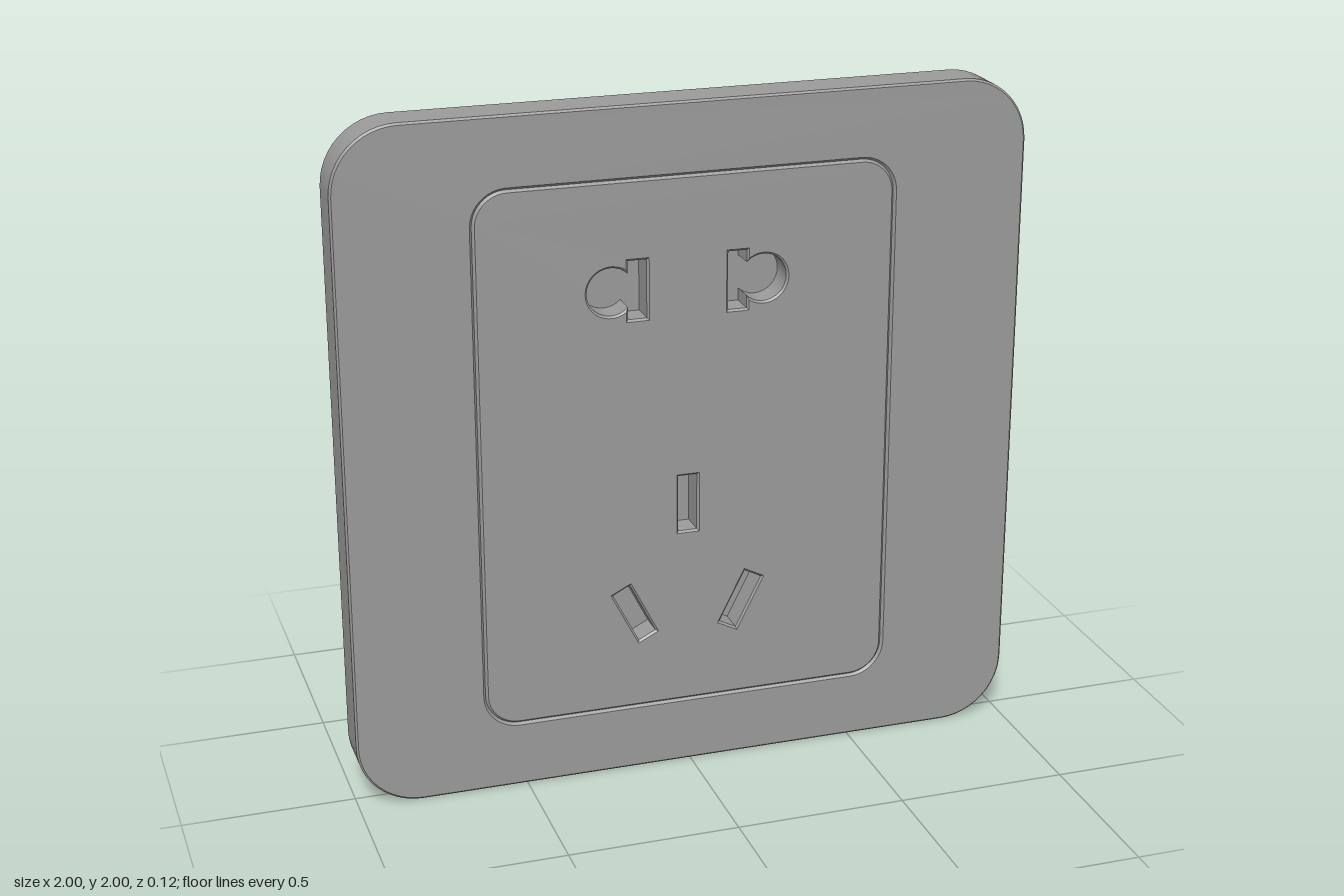
import * as THREE from 'three';
import { toCreasedNormals } from 'three/addons/utils/BufferGeometryUtils.js';

const FRONT = 0.062, BACK = -0.062, CX = -0.008, CY = 0.996, BEVEL = 0.006;
const material = new THREE.MeshStandardMaterial({ color: 0x9b9b9b, side: THREE.DoubleSide });

// Counter-clockwise rounded rectangle outline
function roundedRect(cx, cy, hw, hh, r, steps = 12) {
  const pts = [];
  [[1, -1], [1, 1], [-1, 1], [-1, -1]].forEach(([sx, sy], c) => {
    for (let i = 0; i <= steps; i++) {
      const a = (c - 1 + i / steps) * Math.PI / 2;
      pts.push(new THREE.Vector2(cx + sx * (hw - r) + r * Math.cos(a), cy + sy * (hh - r) + r * Math.sin(a)));
    }
  });
  return pts;
}

// Tilted rectangular slot outline, shrunk by inset
function slot(cx, cy, angle, inset) {
  const hw = 0.034 - inset, hh = 0.091 - inset;
  return [[-1, -1], [1, -1], [1, 1], [-1, 1]].map(([sx, sy]) =>
    new THREE.Vector2(sx * hw, sy * hh).rotateAround(new THREE.Vector2(), angle).add(new THREE.Vector2(cx, cy)));
}

// Round-and-flat slot: a blade with a part circle on its outer side
function comboSlot(side, inset) {
  const at = (x, y) => new THREE.Vector2(CX + side * x, 1.477 + y);
  const inner = 0.113 + inset, outer = 0.18 - inset, hh = 0.091 - inset, r = 0.075 - inset, cx = 0.223;
  const pts = [at(outer, hh), at(inner, hh), at(inner, -hh), at(outer, -hh)];
  const a0 = Math.acos((outer - cx) / r);
  for (let i = 0; i <= 24; i++) {
    const a = -a0 + 2 * a0 * i / 24;
    pts.push(at(cx + r * Math.cos(a), r * Math.sin(a)));
  }
  return side > 0 ? pts : pts.reverse();
}

// Wall through a list of { pts, z } rings, front to back
function wall(rings) {
  const pos = [];
  for (let k = 0; k < rings.length - 1; k++) {
    const a = rings[k], b = rings[k + 1], n = a.pts.length;
    for (let i = 0; i < n; i++) {
      const j = (i + 1) % n;
      const v = (ring, m) => [ring.pts[m].x, ring.pts[m].y, ring.z];
      pos.push(...v(a, i), ...v(b, i), ...v(a, j), ...v(a, j), ...v(b, i), ...v(b, j));
    }
  }
  const g = new THREE.BufferGeometry();
  g.setAttribute('position', new THREE.Float32BufferAttribute(pos, 3));
  return toCreasedNormals(g, Math.PI / 6);
}

// Flat sheet with openings
function sheet(outline, holes, z) {
  const shape = new THREE.Shape(outline);
  shape.holes = holes.map((h) => new THREE.Path(h));
  return new THREE.ShapeGeometry(shape).translate(0, 0, z);
}

export function createModel() {
  const model = new THREE.Group();
  const add = (parent, name, geometry) => {
    const mesh = new THREE.Mesh(geometry, material);
    mesh.name = name;
    parent.add(mesh);
  };
  const part = (name) => {
    const g = new THREE.Group();
    g.name = name;
    model.add(g);
    return g;
  };

  // Outer frame: thin shell, open at the back
  const frame = part('frame');
  const outer = roundedRect(0, 1, 1, 1, 0.19);
  const outerFace = roundedRect(0, 1, 0.994, 0.994, 0.184);
  const opening = roundedRect(CX, CY, 0.617, 0.804, 0.105);
  const groove = roundedRect(CX, CY, 0.61, 0.797, 0.098);
  const grooveZ = FRONT - 0.008;
  add(frame, 'frameFace', sheet(outerFace, [opening], FRONT));
  add(frame, 'frameRim', wall([{ pts: outerFace, z: FRONT }, { pts: outer, z: FRONT - BEVEL }, { pts: outer, z: BACK }]));
  add(frame, 'openingBevel', wall([{ pts: [...opening].reverse(), z: FRONT }, { pts: [...groove].reverse(), z: grooveZ }]));

  // Socket panel: shallow tray set into the frame
  const panel = part('socketPanel');
  const panelFace = roundedRect(CX, CY, 0.603, 0.79, 0.091);
  const slots = {
    leftComboSlot: (inset) => comboSlot(1, inset),
    rightComboSlot: (inset) => comboSlot(-1, inset),
    earthSlot: (inset) => slot(CX, 0.822, 0, inset),
    leftBladeSlot: (inset) => slot(CX + 0.162, 0.497, -0.47, inset),
    rightBladeSlot: (inset) => slot(CX - 0.162, 0.497, 0.47, inset),
  };
  add(panel, 'panelFace', sheet(panelFace, Object.values(slots).map((outline) => outline(0)), FRONT));
  add(panel, 'panelRim', wall([{ pts: panelFace, z: FRONT }, { pts: groove, z: grooveZ }, { pts: groove, z: BACK }]));

  // Closed pockets with a bevelled mouth behind each slot
  const floorZ = FRONT - 0.08;
  for (const [name, outline] of Object.entries(slots)) {
    const mouth = outline(0).reverse(), inner = outline(BEVEL).reverse();
    add(panel, name + 'Walls', wall([{ pts: mouth, z: FRONT }, { pts: inner, z: FRONT - BEVEL }, { pts: inner, z: floorZ }]));
    add(panel, name + 'Floor', sheet(outline(BEVEL), [], floorZ));
  }
  return model;
}
